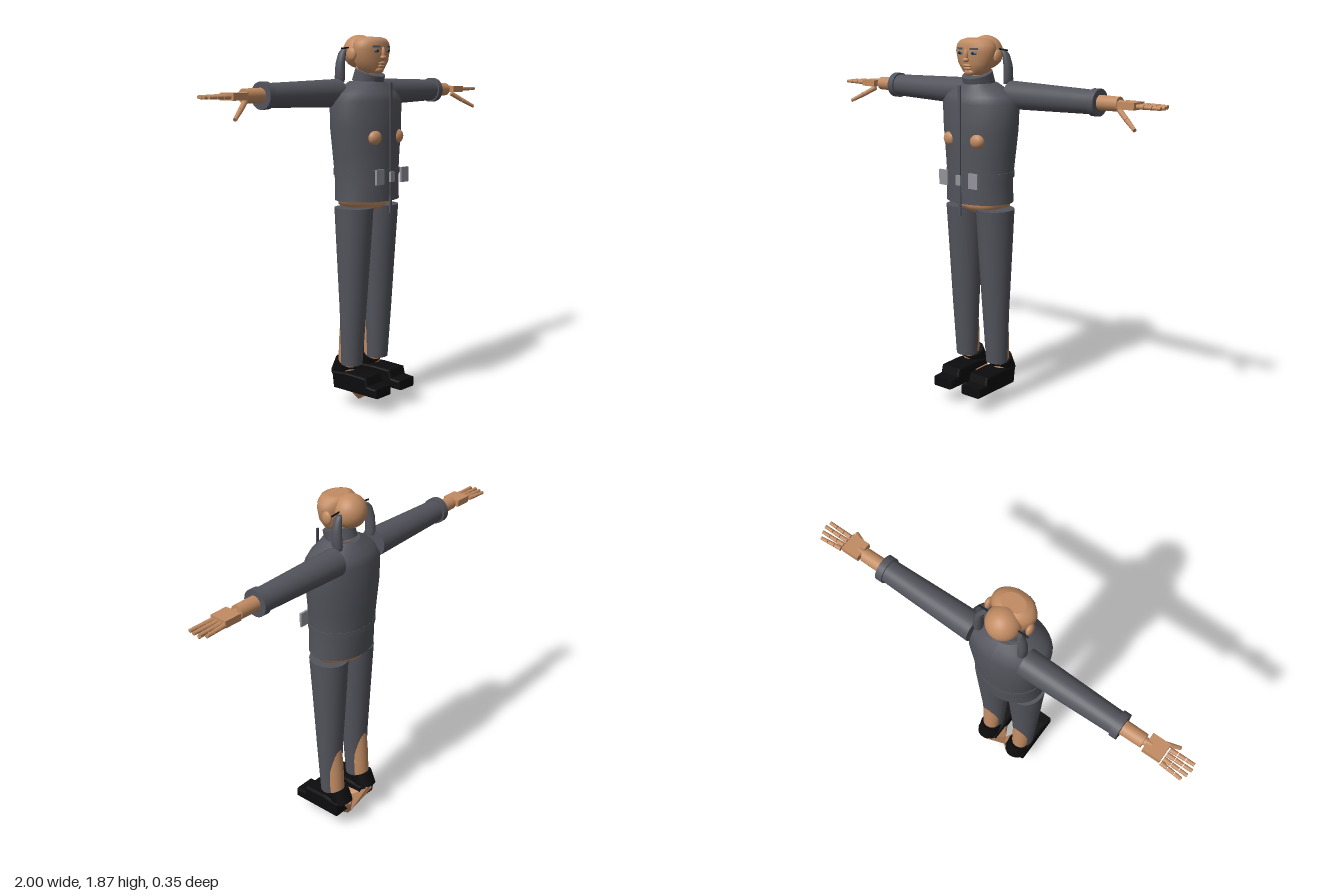
import * as THREE from 'three';
import { ConvexGeometry } from 'three/addons/geometries/ConvexGeometry.js';

const material = (name, color) => {
  const m = new THREE.MeshStandardMaterial({ color });
  m.name = name;
  return m;
};

export function createModel() {
  const model = new THREE.Group();
  const suit = material('charcoal cloth', 0x53545c);
  const skin = material('skin', 0xc18b62);
  const black = material('black leather', 0x0c0c0e);
  const metal = material('grey metal', 0x92939a);
  const iris = material('blue grey', 0x5a6a7c);

  const add = (name, geometry, mat, x = 0, y = 0, z = 0) => {
    const mesh = new THREE.Mesh(geometry, mat);
    mesh.name = name;
    mesh.position.set(x, y, z);
    model.add(mesh);
    return mesh;
  };
  const box = (name, mat, w, h, d, x, y, z) => add(name, new THREE.BoxGeometry(w, h, d), mat, x, y, z);
  const ball = (name, mat, rx, ry, rz, x, y, z) => {
    const mesh = add(name, new THREE.SphereGeometry(1, 28, 18), mat, x, y, z);
    mesh.scale.set(rx, ry, rz);
    return mesh;
  };

  // Elliptical rings stacked from bottom to top: [y, centre x, centre z, radius x, radius z]
  const loft = (name, mat, rings) => {
    const last = rings.length - 1;
    const g = new THREE.CylinderGeometry(1, 1, 1, 36, last, false, Math.PI);
    const p = g.attributes.position;
    for (let i = 0; i < p.count; i++) {
      const [y, cx, cz, rx, rz] = rings[Math.round((p.getY(i) + 0.5) * last)];
      p.setXYZ(i, cx + p.getX(i) * rx, y, cz + p.getZ(i) * rz);
    }
    g.computeVertexNormals();
    return add(name, g, mat);
  };

  // Tapered round rod between two points
  const rod = (name, mat, a, b, ra, rb, sides = 24) => {
    const from = new THREE.Vector3(...a), to = new THREE.Vector3(...b);
    const dir = to.clone().sub(from);
    const mesh = add(name, new THREE.CylinderGeometry(rb, ra, dir.length(), sides), mat);
    mesh.position.copy(from).add(to).multiplyScalar(0.5);
    mesh.quaternion.setFromUnitVectors(new THREE.Vector3(0, 1, 0), dir.normalize());
    return mesh;
  };

  // Jacket, belt, collar and hips
  loft('jacket', suit, [
    [1.06, 0, -0.012, 0.183, 0.143], [1.18, 0, -0.015, 0.176, 0.147],
    [1.3, 0, -0.018, 0.19, 0.15], [1.42, 0, -0.02, 0.204, 0.155],
    [1.55, 0, -0.02, 0.214, 0.148], [1.585, 0, -0.02, 0.185, 0.132],
    [1.615, 0, -0.02, 0.14, 0.11], [1.645, 0, -0.015, 0.085, 0.085],
  ]);
  loft('belt', suit, [[1.185, 0, -0.015, 0.183, 0.15], [1.215, 0, -0.015, 0.184, 0.15]]);
  rod('collar', suit, [0, 1.635, -0.01], [0, 1.69, 0.008], 0.078, 0.076, 32);
  rod('neck', skin, [0, 1.62, -0.02], [0, 1.74, -0.01], 0.055, 0.055);
  loft('hips', skin, [
    [1.0, 0, -0.03, 0.03, 0.06], [1.02, 0, -0.03, 0.1, 0.09],
    [1.04, 0, -0.03, 0.163, 0.1], [1.08, 0, -0.03, 0.168, 0.1],
  ]);
  box('zip', metal, 0.014, 0.64, 0.007, 0, 1.32, 0.14).material = suit;
  box('centreBuckle', metal, 0.03, 0.05, 0.012, 0, 1.18, 0.148);

  // Head
  ball('skull', skin, 0.082, 0.082, 0.082, 0, 1.789, -0.062);
  loft('face', skin, [
    [1.685, 0, 0.02, 0.04, 0.035], [1.7, 0, 0.015, 0.067, 0.058],
    [1.74, 0, 0.015, 0.097, 0.071], [1.8, 0, 0.015, 0.112, 0.075],
    [1.83, 0, 0.015, 0.105, 0.074], [1.85, 0, 0.015, 0.085, 0.066],
    [1.859, 0, 0.01, 0.06, 0.045],
  ]);
  ball('noseBridge', skin, 0.011, 0.03, 0.014, 0, 1.782, 0.088);
  ball('noseTip', skin, 0.017, 0.012, 0.016, 0, 1.76, 0.09);
  ball('upperLip', skin, 0.025, 0.008, 0.011, 0, 1.732, 0.083);
  ball('lowerLip', skin, 0.022, 0.009, 0.012, 0, 1.718, 0.078);
  ball('chin', skin, 0.03, 0.018, 0.02, 0, 1.7, 0.062);

  for (const s of [1, -1]) {
    // Eyes, brows, ears and hanging hair locks
    ball('eye', iris, 0.018, 0.009, 0.008, s * 0.042, 1.792, 0.083);
    ball('pupil', black, 0.006, 0.006, 0.004, s * 0.042, 1.792, 0.09);
    box('brow', suit, 0.04, 0.009, 0.009, s * 0.044, 1.812, 0.083).rotation.y = s * 0.35;
    ball('ear', skin, 0.016, 0.033, 0.027, s * 0.108, 1.775, -0.018);
    loft('hairLock', suit, [
      [1.64, s * 0.112, -0.088, 0.014, 0.022], [1.66, s * 0.118, -0.088, 0.022, 0.028],
      [1.73, s * 0.118, -0.085, 0.021, 0.025], [1.78, s * 0.108, -0.081, 0.017, 0.021],
      [1.802, s * 0.095, -0.08, 0.011, 0.014],
    ]);
    rod('hairTie', black, [s * 0.075, 1.808, -0.065], [s * 0.13, 1.803, -0.065], 0.004, 0.004, 8);

    // Chest patches and belt buckles
    ball('chestPatch', skin, 0.04, 0.037, 0.03, s * 0.085, 1.375, 0.107);
    box('buckle', metal, 0.055, 0.075, 0.012, s * 0.095, 1.185, 0.148);

    // Arm
    rod('sleeve', suit, [s * 0.138, 1.587, -0.09], [s * 0.63, 1.587, -0.09], 0.069, 0.056, 32);
    rod('cuff', suit, [s * 0.62, 1.587, -0.09], [s * 0.655, 1.587, -0.09], 0.064, 0.064, 32);
    rod('forearm', skin, [s * 0.6, 1.588, -0.09], [s * 0.762, 1.588, -0.09], 0.036, 0.034);
    rod('wrist', skin, [s * 0.755, 1.588, -0.088], [s * 0.8, 1.588, -0.088], 0.02, 0.018);
    box('palm', skin, 0.09, 0.033, 0.09, s * 0.82, 1.588, -0.086);

    // Fingers, each of three segments
    [[-0.13, -0.14, 0.98], [-0.108, -0.112, 0.993], [-0.083, -0.083, 1], [-0.058, -0.055, 0.994]].forEach(([z0, z1, end]) => {
      const start = 0.872, step = (end - start) / 3;
      for (let i = 0; i < 3; i++) {
        const za = z0 + (z1 - z0) * i / 3, zb = z0 + (z1 - z0) * (i + 1) / 3;
        rod('finger', skin, [s * (start + step * i), 1.588, za], [s * (start + step * (i + 1) - (i < 2 ? 0.003 : 0)), 1.588, zb],
          0.0115 - i * 0.001, 0.0105 - i * 0.001, 12);
      }
    });
    rod('thumbBase', skin, [s * 0.78, 1.565, -0.06], [s * 0.84, 1.528, -0.028], 0.013, 0.012, 12);
    rod('thumbTip', skin, [s * 0.842, 1.527, -0.027], [s * 0.903, 1.492, 0.006], 0.012, 0.009, 12);

    // Trouser leg with the calf showing behind
    loft('trouserLeg', suit, [
      [0.22, s * 0.101, -0.029, 0.056, 0.053], [0.5, s * 0.1, -0.021, 0.07, 0.066],
      [0.8, s * 0.098, -0.018, 0.085, 0.085], [1.025, s * 0.098, -0.015, 0.094, 0.1],
    ]);
    loft('calf', skin, [
      [0.18, s * 0.1, -0.064, 0.04, 0.04], [0.25, s * 0.1, -0.06, 0.046, 0.045],
      [0.36, s * 0.1, -0.045, 0.052, 0.053], [0.52, s * 0.1, -0.03, 0.05, 0.054],
    ]);

    // Foot tapering below the shoe towards the middle
    const foot = [
      [0.09, 0.1, 0.09], [0.065, 0.1, 0.06], [0.12, 0.18, -0.12], [0.06, 0.18, -0.145],
      [0.09, 0.16, -0.152], [0.06, 0.046, -0.06], [0.02, 0.008, -0.055], [0.005, 0, -0.065],
      [0, 0.02, -0.08], [0, 0.11, -0.06], [0.05, 0.16, 0], [0.09, 0.1, 0.02],
    ].map(([x, y, z]) => new THREE.Vector3(s * x, y, z));
    add('foot', new ConvexGeometry(foot), skin);

    // Shoe
    const profile = new THREE.Shape([
      [0.165, 0.095], [0.165, 0.125], [0.11, 0.13], [0.1, 0.17],
      [-0.02, 0.175], [-0.11, 0.17], [-0.1, 0.1],
    ].map(([z, y]) => new THREE.Vector2(z, y)));
    const shoe = new THREE.ExtrudeGeometry(profile, {
      depth: 0.1, bevelEnabled: true, bevelSize: 0.01, bevelThickness: 0.011, bevelSegments: 2,
    });
    shoe.translate(0, 0, -0.05);
    shoe.rotateY(-Math.PI / 2);
    add('shoe', shoe, black, s * 0.094);
    rod('shoeAnkle', black, [s * 0.096, 0.155, -0.105], [s * 0.096, 0.225, -0.07], 0.056, 0.058, 20);
  }
  return model;
}
